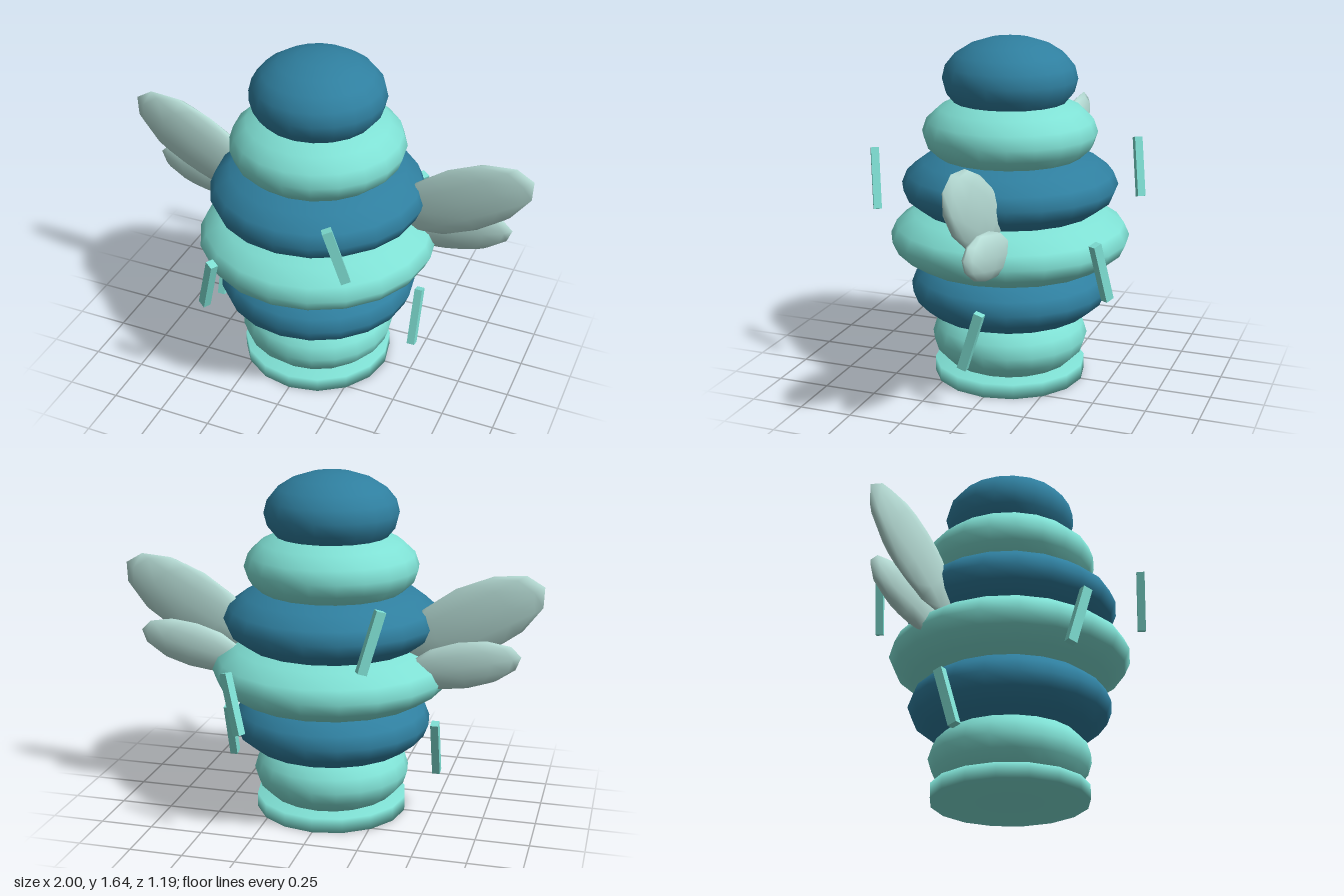
import * as THREE from 'three';
import { mergeVertices } from 'three/addons/utils/BufferGeometryUtils.js';

const mat = (name, color) => {
  const m = new THREE.MeshStandardMaterial({ color });
  m.name = name;
  return m;
};

export function createModel() {
  const root = new THREE.Group();
  root.name = 'stackedWingedFigure';
  const teal = mat('light teal', 0x7fe0d4);
  const blue = mat('deep blue', 0x2f7f9f);
  const pale = mat('pale wing', 0xb6dcd5);

  const add = (name, geometry, material) => {
    const mesh = new THREE.Mesh(geometry, material);
    mesh.name = name;
    root.add(mesh);
    return mesh;
  };

  // Base disc, softly shaded across its edges
  const disc = new THREE.CylinderGeometry(0.365, 0.365, 0.07, 16);
  disc.deleteAttribute('normal');
  disc.deleteAttribute('uv');
  const base = mergeVertices(disc);
  base.computeVertexNormals();
  add('base', base, teal).position.y = 0.035;

  // Body: flattened, overlapping spheres in alternating colours, the last is the head
  const bodySphere = new THREE.SphereGeometry(1, 20, 10);
  [0.375, 0.475, 0.57, 0.512, 0.412, 0.316].forEach((r, i) => {
    const tier = add(i === 5 ? 'head' : `bodyTier${i + 1}`, bodySphere, i % 2 ? blue : teal);
    tier.scale.set(r, 0.195, r);
    tier.position.y = 0.2 + i * 0.25;
  });

  // Six tilted sticks spaced around the body at three heights
  const stick = new THREE.BoxGeometry(0.037, 0.285, 0.044);
  const heights = [0.338, 1.0, 0.667];
  const radii = [0.513, 0.63, 0.63];
  for (let i = 0; i < 6; i++) {
    const a = (i * Math.PI) / 3;
    const r = radii[i % 3];
    const mesh = add(`stick${i + 1}`, stick, teal);
    mesh.position.set(r * Math.cos(a), heights[i % 3], r * Math.sin(a));
    mesh.rotation.set(i % 2 ? 0.3 : -0.3, -a, 0, 'YXZ');
  }

  // Two pairs of flat oval wings
  const wingSphere = new THREE.SphereGeometry(1, 12, 6);
  for (const side of [1, -1]) {
    const label = side > 0 ? 'left' : 'right';
    const wing = (name, x, y, z, length, width, tilt) => {
      const mesh = add(label + name, wingSphere, pale);
      mesh.position.set(side * x, y, z);
      mesh.scale.set(length, width, 0.047);
      mesh.rotation.z = side * tilt;
    };
    wing('UpperWing', 0.68, 1.0, -0.083, 0.365, 0.163, 0.5);
    wing('LowerWing', 0.65, 0.8, -0.133, 0.27, 0.109, 0.22);
  }
  return root;
}
